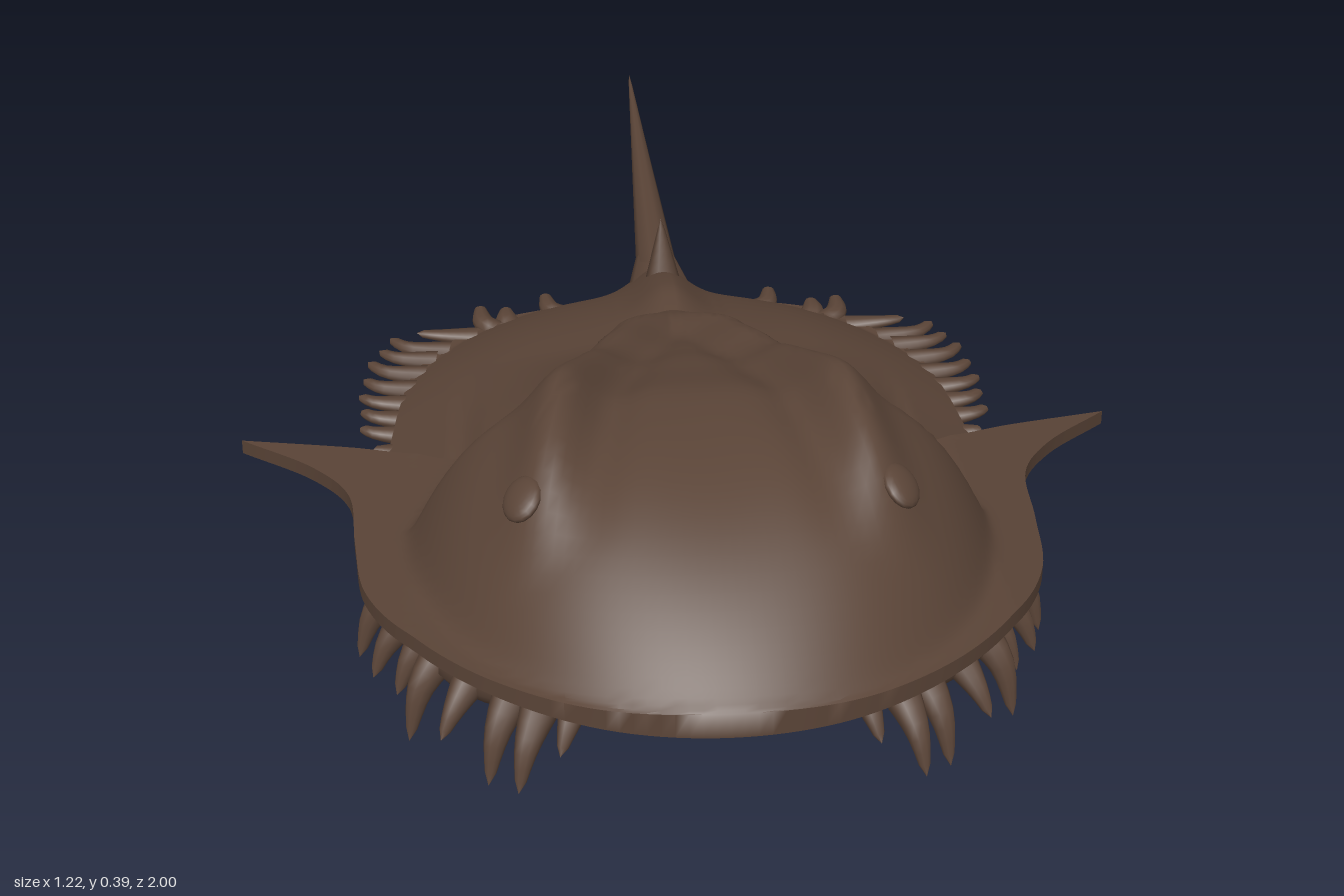
import * as THREE from 'three';
import { toCreasedNormals } from 'three/addons/utils/BufferGeometryUtils.js';

const shellBrown = new THREE.MeshStandardMaterial({ color: 0x5a4437 });
const bump = (d, w) => Math.exp(-(d * d) / (w * w));
const { clamp, lerp, smoothstep } = THREE.MathUtils;
const lerpTable = (table, v) => {
  for (let i = 1; i < table.length; i++) {
    const [a, ya] = table[i - 1], [b, yb] = table[i];
    if (v <= b) {
      const t = clamp((v - a) / (b - a), 0, 1);
      return lerp(ya, yb, 0.7 * t + 0.3 * smoothstep(t, 0, 1));
    }
  }
  return table[table.length - 1][1];
};

// Height of the front shield: flared rim, dome, two eye ridges with grooves
const crest = [[0.08, 0.226], [0.2, 0.26], [0.3, 0.29], [0.4, 0.32], [0.55, 0.355]];
const ridgeX = [[0.08, 0], [0.2, 0.07], [0.36, 0.125], [0.57, 0.178], [0.75, 0.205]];
const ridgeHeight = [[0.08, 0.008], [0.2, 0.028], [0.36, 0.032], [0.57, 0.044], [0.68, 0.034], [0.82, 0]];
function headTop(x, z) {
  const ax = Math.abs(x), back = Math.max(0, 0.55 - z);
  const rim = 0.172 - 0.025 * (1 - z) - Math.max(0, ax - 0.36) * 0.24;
  const u = ax / (0.365 - 0.34 * back), v = Math.max(0, z - 0.55) / 0.45;
  const r2 = u * u + v * v + 1e-6;
  const power = lerp(Math.max(2.1, 4.4 - 12 * back), 2.5, v * v / r2);
  const d = 1 - Math.pow(r2, power / 2);
  const dome = (d + Math.sqrt(d * d + 0.006)) / 2;
  const rx = lerpTable(ridgeX, z), rh = lerpTable(ridgeHeight, z);
  return rim + (lerpTable(crest, z) - rim) * dome
    + rh * bump(ax - rx, 0.04) - rh * 0.3 * bump(ax - rx + 0.065, 0.03);
}

// Height of the rear shield: keel behind, shoulders rising to meet the front shield
function rearTop(x, z) {
  const ax = Math.abs(x);
  const r = Math.min(1, Math.hypot(x / 0.41, Math.min(0, z - 0.2) / 0.45));
  const keel = Math.max(0, 0.045 - 0.27 * Math.max(0, z));
  const low = 0.1 + 0.1 * (1 - Math.pow(r, 2.4)) + keel * bump(x, 0.05)
    - 0.01 * bump(ax - 0.16, 0.05) * (1 - r);
  const shoulder = Math.min(headTop(x, 0.36) - 0.004, 0.262, 0.1 + 0.6 * (0.41 - ax));
  return lerp(low, shoulder, smoothstep(z, 0.08, 0.36));
}

// Shared rounded belly
function belly(x, z) {
  const r = Math.min(1, Math.hypot(x / 0.4, (z - 0.3) / 0.6));
  return 0.05 + 0.1 * Math.pow(r, 4);
}

// Closed shell spanned between a back outline and a front outline, each given
// from the middle to the left end and mirrored in x
function shell(name, back, front, top, thickness) {
  const spline = pts => new THREE.CatmullRomCurve3([
    ...pts.slice(1).reverse().map(([x, z]) => new THREE.Vector3(-x, 0, z)),
    ...pts.map(([x, z]) => new THREE.Vector3(x, 0, z))]);
  const b = spline(back), f = spline(front);
  const N = 144, M = 48, pos = [], idx = [], ring = 2 * (M + 1);
  for (let i = 0; i <= N; i++) {
    const p = b.getPoint(i / N), q = f.getPoint(i / N);
    for (let j = 0; j < ring; j++) {
      const k = j <= M ? j : ring - 1 - j;
      const t = 0.5 - 0.5 * Math.cos(Math.PI * k / M);
      const x = lerp(p.x, q.x, t), z = lerp(p.z, q.z, t), y = top(x, z);
      pos.push(x, j <= M ? y : Math.min(y - thickness, belly(x, z)), z);
    }
  }
  for (let i = 0; i < N; i++) {
    for (let j = 0; j < ring; j++) {
      const a = i * ring + j, c = i * ring + (j + 1) % ring;
      idx.push(a, c, a + ring, c, c + ring, a + ring);
    }
  }
  const g = new THREE.BufferGeometry();
  g.setAttribute('position', new THREE.Float32BufferAttribute(pos, 3));
  g.setIndex(idx);
  const mesh = new THREE.Mesh(toCreasedNormals(g, 1), shellBrown);
  mesh.name = name;
  return mesh;
}

// Tube along points whose radius shrinks from r0 to r1, optionally flattened in y
function taper(name, pts, r0, r1 = 0.001, flat = 1, seg = 10) {
  const curve = new THREE.CatmullRomCurve3(pts.map(p => new THREE.Vector3(...p)));
  const g = new THREE.TubeGeometry(curve, seg, 1, 10);
  const p = g.attributes.position, v = new THREE.Vector3();
  for (let i = 0; i < p.count; i++) {
    const t = Math.floor(i / 11) / seg, c = curve.getPointAt(t);
    const r = t === 1 ? 0 : r0 + (r1 - r0) * t;
    v.fromBufferAttribute(p, i).sub(c).multiplyScalar(r);
    v.y *= flat;
    v.add(c);
    p.setXYZ(i, v.x, v.y, v.z);
  }
  const mesh = new THREE.Mesh(g, shellBrown);
  mesh.name = name;
  return mesh;
}

export function createModel() {
  const model = new THREE.Group();
  model.name = 'horseshoeCrab';

  // Shields
  model.add(shell('headShield',
    [[0, 0.08], [0.05, 0.13], [0.095, 0.23], [0.135, 0.355], [0.21, 0.36], [0.29, 0.36], [0.36, 0.33], [0.45, 0.265], [0.61, 0.16]],
    [[0, 0.995], [0.14, 0.97], [0.27, 0.89], [0.365, 0.78], [0.42, 0.66], [0.437, 0.53], [0.45, 0.4], [0.5, 0.3], [0.61, 0.16]],
    headTop, 0.02));
  model.add(shell('rearShield',
    [[0, -0.235], [0.08, -0.225], [0.18, -0.205], [0.26, -0.17], [0.33, -0.09], [0.375, 0], [0.39, 0.1], [0.4, 0.2], [0.41, 0.27]],
    [[0, 0.5], [0.08, 0.5], [0.16, 0.5], [0.22, 0.49], [0.28, 0.47], [0.33, 0.44], [0.36, 0.4], [0.385, 0.35], [0.41, 0.27]],
    rearTop, 0.014));

  // Tail and the thorn above its root
  model.add(taper('tailRoot', [[0, 0.135, -0.06], [0, 0.14, -0.2], [0, 0.144, -0.34]], 0.07, 0.022, 0.6));
  model.add(taper('tail', [[0, 0.14, -0.2], [0, 0.155, -0.6], [0, 0.175, -1]], 0.034, 0.001, 0.8, 16));
  model.add(taper('tailThorn', [[0, 0.12, -0.095], [0, 0.2, -0.13], [0, 0.268, -0.16]], 0.046));

  // Rim spines: base x, base z, tip x, tip z
  const spines = [
    [0.39, 0.22, 0.425, 0.215], [0.38, 0.17, 0.445, 0.15], [0.38, 0.125, 0.445, 0.1],
    [0.375, 0.08, 0.45, 0.055], [0.37, 0.035, 0.445, 0.005], [0.355, -0.01, 0.44, -0.05],
    [0.34, -0.055, 0.425, -0.085], [0.32, -0.085, 0.41, -0.125], [0.28, -0.13, 0.37, -0.14],
    [0.25, -0.15, 0.275, -0.225], [0.23, -0.16, 0.235, -0.215], [0.14, -0.19, 0.175, -0.262],
  ];
  // Leg tips: x, z, y
  const tips = [
    [0.14, 0.84, 0.06], [0.19, 0.88, 0.05], [0.24, 0.91, 0.022], [0.275, 0.875, 0.01],
    [0.33, 0.83, 0.045], [0.37, 0.77, 0.004], [0.385, 0.71, 0.03],
    [0.415, 0.67, 0.03], [0.435, 0.6, 0.015], [0.42, 0.51, 0.055],
  ];
  for (const s of [1, -1]) {
    const side = s > 0 ? 'left' : 'right';
    for (const [x, z, tx, tz] of spines) {
      model.add(taper(side + 'RimSpine', [[s * x, 0.095, z],
        [s * (x + (tx - x) * 0.7), 0.1, z + (tz - z) * 0.2], [s * tx, 0.1, tz]], 0.022, 0.007, 0.6, 8));
    }
    for (const [x, z, y] of tips) {
      const bx = x * 0.84, bz = 0.6 + (z - 0.6) * 0.8;
      model.add(taper(side + 'LegTip', [[s * bx, 0.13, bz],
        [s * x * 0.95, 0.08, bz + (z - bz) * 0.75], [s * x, y, z]], 0.029, 0.004, 1, 8));
    }
    // Leg roots joined along the rim, and limbs reaching in to the belly
    model.add(taper(side + 'LegRoots',
      [[0.1, 0.78], [0.19, 0.82], [0.28, 0.78], [0.33, 0.7], [0.36, 0.6], [0.35, 0.46]]
        .map(([x, z]) => [s * x, 0.112, z]), 0.036, 0.036, 1, 24));
    for (const [x, z] of [[0.19, 0.82], [0.3, 0.76], [0.36, 0.6]]) {
      model.add(taper(side + 'Limb', [[s * 0.1, 0.1, 0.5],
        [s * x * 0.7, 0.1, 0.5 + (z - 0.5) * 0.6], [s * x, 0.11, z]], 0.03, 0.036));
    }
    // Eye
    const eye = new THREE.Mesh(new THREE.SphereGeometry(0.03, 16, 12), shellBrown);
    eye.name = side + 'Eye';
    eye.scale.set(0.9, 0.4, 1.1);
    eye.position.set(s * 0.225, headTop(0.225, 0.73), 0.73);
    eye.rotation.set(0.35, 0, -s * 0.6);
    model.add(eye);
  }
  return model;
}
